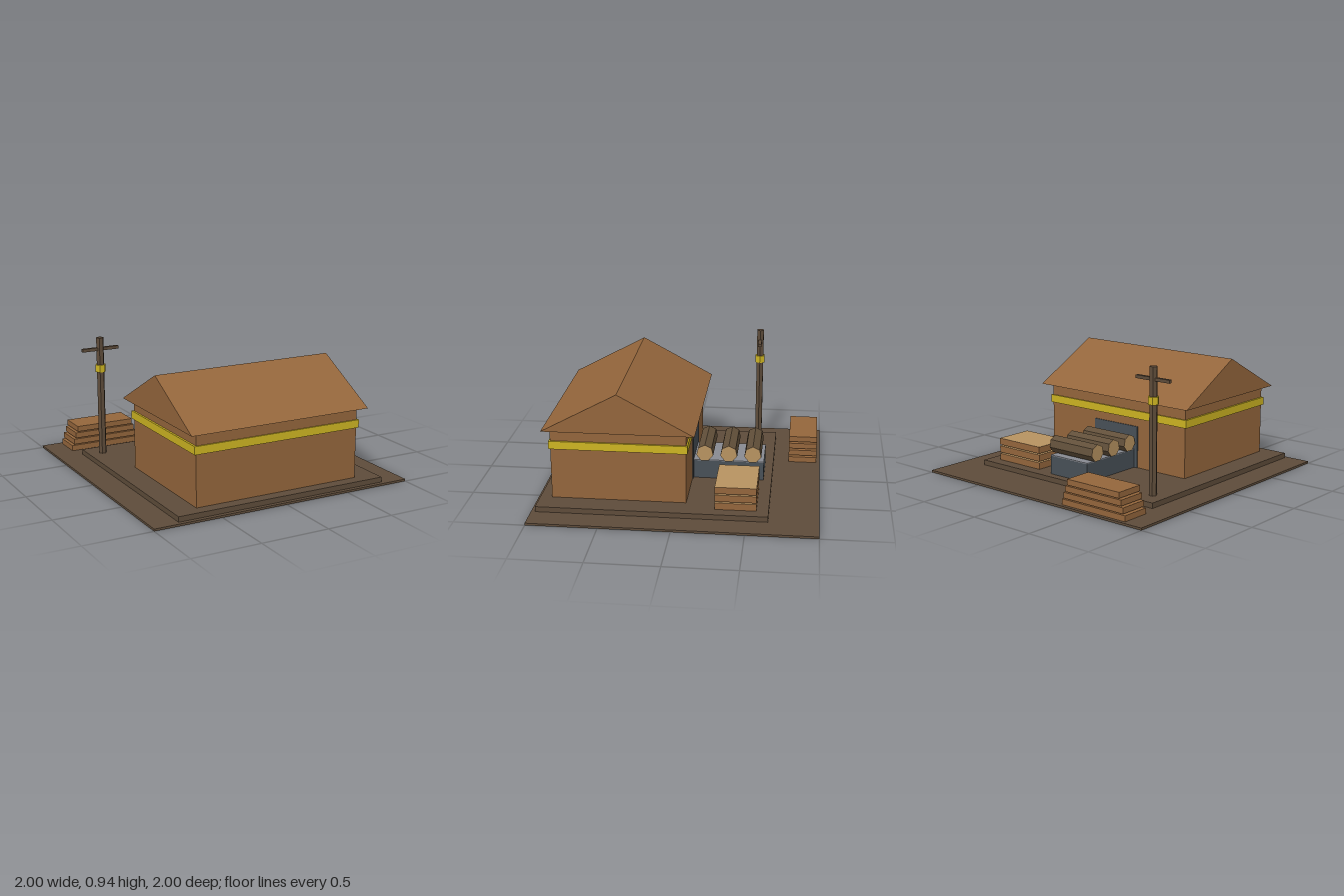
import * as THREE from 'three';

export function createModel() {
  const model = new THREE.Group();
  model.name = 'sawmill';

  const material = (name, color) => {
    const m = new THREE.MeshStandardMaterial({ color, flatShading: true });
    m.name = name;
    return m;
  };
  const earth = material('dark earth brown', 0x5e4c3a);
  const timber = material('timber brown', 0x94663c);
  const paint = material('yellow paint', 0xcdb422);
  const bark = material('bark', 0x62503a);
  const cutWood = material('cut wood', 0xb89361);
  const darkSteel = material('dark steel', 0x485057);
  const lightSteel = material('light steel', 0x888b92);

  const add = (name, geometry, mat, x = 0, y = 0, z = 0, parent = model) => {
    const mesh = new THREE.Mesh(geometry, mat);
    mesh.name = name;
    mesh.position.set(x, y, z);
    parent.add(mesh);
    return mesh;
  };
  // Box given by its limits on each axis
  const box = (name, mat, [x0, x1], [y0, y1], [z0, z1], parent = model) =>
    add(name, new THREE.BoxGeometry(x1 - x0, y1 - y0, z1 - z0), mat,
      (x0 + x1) / 2, (y0 + y1) / 2, (z0 + z1) / 2, parent);
  const group = (name) => {
    const g = new THREE.Group();
    g.name = name;
    model.add(g);
    return g;
  };

  // Ground and raised platform
  box('ground', earth, [-1, 1], [0, 0.016], [-1, 1]);
  box('platform', earth, [-0.81, 0.81], [0.016, 0.054], [-0.65, 0.97]);

  // Shed with a painted band and a door plate at the back
  const shed = group('shed');
  box('walls', timber, [-0.635, 0.635], [0.054, 0.57], [-0.07, 0.885], shed);
  box('paintedBand', paint, [-0.65, 0.65], [0.425, 0.483], [-0.08, 0.895], shed);
  box('doorway', darkSteel, [-0.205, 0.205], [0.054, 0.365], [-0.077, -0.069], shed);

  // Gabled roof, its ridge along x
  const gable = new THREE.Shape([
    new THREE.Vector2(-0.535, 0), new THREE.Vector2(0.535, 0), new THREE.Vector2(0, 0.287),
  ]);
  const roof = new THREE.ExtrudeGeometry(gable, { depth: 1.386, bevelEnabled: false });
  roof.translate(0, 0, -0.693).rotateY(Math.PI / 2);
  add('roof', roof, timber, 0, 0.57, 0.403, shed);

  // Saw bed carrying three logs
  const bed = group('sawBed');
  box('bedBase', darkSteel, [-0.175, 0.175], [0.054, 0.189], [-0.59, -0.07], bed);
  box('bedTop', lightSteel, [-0.175, 0.175], [0.189, 0.196], [-0.59, -0.07], bed);
  const logGeometry = new THREE.CylinderGeometry(0.063, 0.063, 0.405, 7);
  logGeometry.rotateZ(Math.PI / 2).rotateX(-Math.PI / 2);
  for (let i = 0; i < 3; i++) {
    add('log', logGeometry, [bark, cutWood, cutWood], 0, 0.258, -0.16 - i * 0.175, bed);
  }

  // Stack of sawn slabs with pale top faces
  const slabs = group('slabStack');
  for (let i = 0; i < 3; i++) {
    const y = 0.054 + i * 0.059;
    box('slab', [timber, timber, cutWood, timber, timber, timber],
      [0.315, 0.722], [y, y + 0.049], [-0.565, -0.275], slabs);
  }

  // Plank pile, each layer shorter than the one below
  const pile = group('plankPile');
  for (let i = 0; i < 4; i++) {
    const y = 0.016 + i * 0.049;
    const half = 0.277 - i * 0.0165;
    box('plank', timber, [-0.568 - half, -0.568 + half], [y, y + 0.041], [-0.975, -0.763], pile);
  }

  // Utility pole with crossbar and painted collar
  const pole = group('utilityPole');
  const hexagon = (r, h) => new THREE.CylinderGeometry(r, r, h, 6).rotateY(Math.PI / 6);
  add('post', hexagon(0.029, 0.89), earth, -0.7, 0.499, -0.51, pole);
  add('collar', hexagon(0.04, 0.054), paint, -0.7, 0.713, -0.51, pole);
  box('crossbar', earth, [-0.842, -0.557], [0.847, 0.87], [-0.523, -0.498], pole);

  return model;
}
